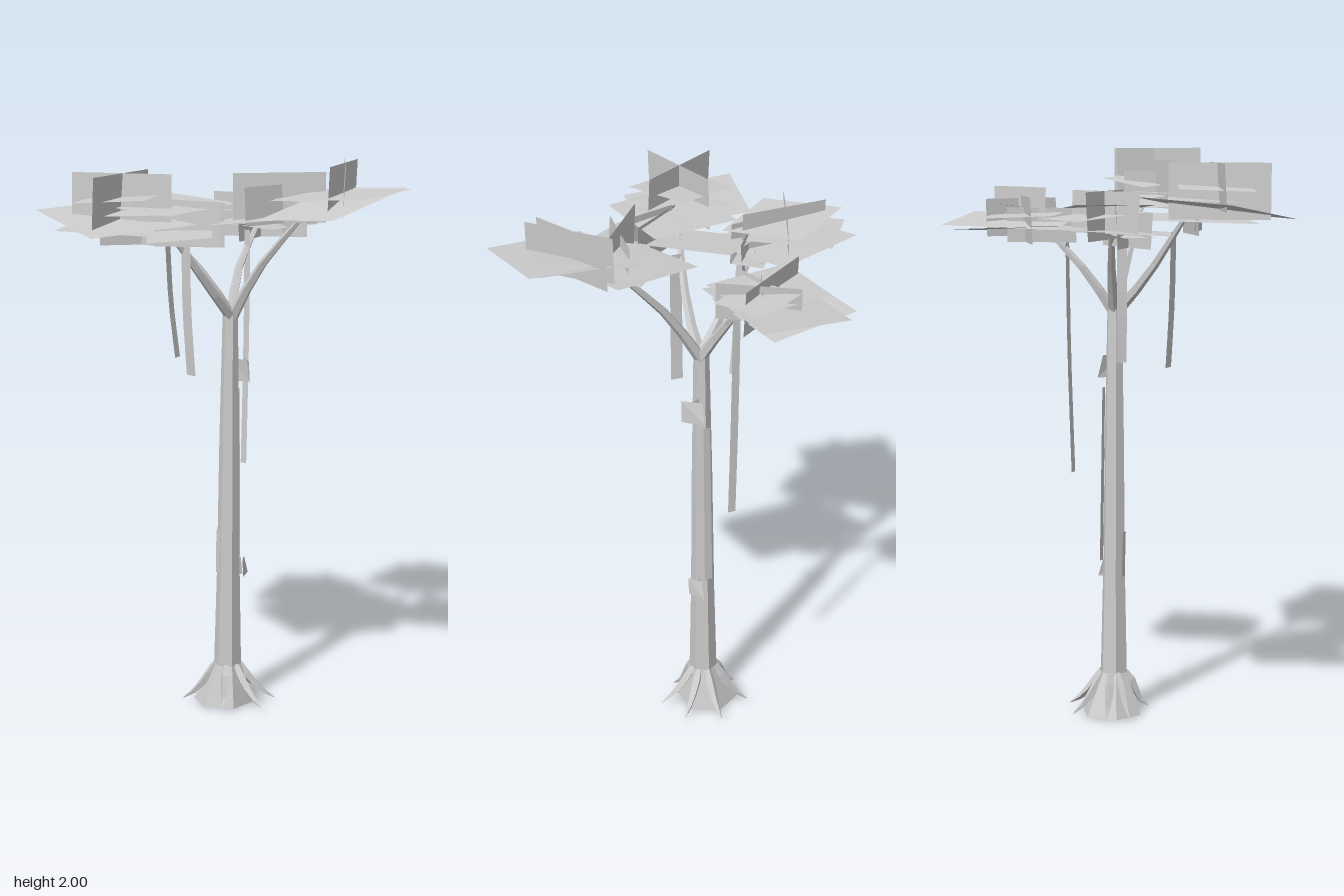
import * as THREE from 'three';

const bark = new THREE.MeshStandardMaterial({ color: 0xcccccc, flatShading: true, side: THREE.DoubleSide });
bark.name = 'pale grey';
const V = (p) => new THREE.Vector3(...p);

function add(parent, name, geometry) {
  const mesh = new THREE.Mesh(geometry, bark);
  mesh.name = name;
  parent.add(mesh);
}

// Tapered tube along a smooth path; radii are evenly spaced along it.
function limb(points, radii, sides) {
  const curve = new THREE.CatmullRomCurve3(points.map(V));
  const n = radii.length - 1;
  const geo = new THREE.TubeGeometry(curve, n, 1, sides, false);
  const pos = geo.attributes.position;
  const v = new THREE.Vector3();
  for (let i = 0; i < pos.count; i++) {
    const ring = Math.floor(i / (sides + 1));
    const c = curve.getPointAt(ring / n);
    v.fromBufferAttribute(pos, i).sub(c).multiplyScalar(radii[ring]).add(c);
    pos.setXYZ(i, v.x, v.y, v.z);
  }
  return geo;
}

// Strip of quads between two edges, each a list of points.
function strip(left, right) {
  const flat = [], index = [];
  left.forEach((p, i) => {
    flat.push(...p, ...right[i]);
    if (i) index.push(2 * i - 2, 2 * i - 1, 2 * i, 2 * i - 1, 2 * i + 1, 2 * i);
  });
  const geo = new THREE.BufferGeometry();
  geo.setAttribute('position', new THREE.Float32BufferAttribute(flat, 3));
  geo.setIndex(index);
  geo.computeVertexNormals();
  return geo;
}

// Tilted leaf sheet: three plan corners (x, z), centre height and slopes.
function sheet([ax, az, bx, bz, cx, cz, y, sx, sz]) {
  const mx = (ax + cx) / 2, mz = (az + cz) / 2;
  const at = (x, z) => [x, y + sx * (x - mx) + sz * (z - mz), z];
  return strip([at(ax, az), at(ax + cx - bx, az + cz - bz)], [at(bx, bz), at(cx, cz)]);
}

// Upright leaf sheet over a plan line, between two heights, leaning slightly.
function upright([x1, z1, x2, z2, y1, y2]) {
  const k = 0.004 / Math.hypot(x2 - x1, z2 - z1);
  const lx = (z2 - z1) * k, lz = (x1 - x2) * k;
  return strip(
    [[x1 - lx, y1, z1 - lz], [x1 + lx, y2, z1 + lz]],
    [[x2 - lx, y1, z2 - lz], [x2 + lx, y2, z2 + lz]],
  );
}

const clusters = {
  backLeaves: {
    sheets: [
      [-0.32, -0.59, 0.015, -0.62, 0.03, -0.21, 1.755, 0.1, -0.03],
      [-0.38, -0.52, -0.05, -0.57, 0, -0.22, 1.73, -0.05, 0.05],
      [-0.33, -0.44, 0, -0.5, 0.03, -0.24, 1.78, 0.05, 0.04],
      [-0.2, -0.475, -0.02, -0.555, 0.065, -0.365, 1.8, -0.08, -0.05],
    ],
    uprights: [
      [-0.03, -0.525, -0.16, -0.27, 1.72, 1.87],
      [-0.3, -0.26, -0.01, -0.44, 1.68, 1.84],
      [-0.2, -0.475, 0.03, -0.31, 1.7, 1.83],
      [-0.11, -0.175, -0.17, -0.41, 1.68, 1.8],
    ],
  },
  leftLeaves: {
    sheets: [
      [0, -0.12, 0.35, -0.255, 0.47, 0.11, 1.82, 0.1, -0.05],
      [0.08, -0.055, 0.265, -0.24, 0.455, -0.025, 1.84, 0.12, 0.05],
      [0.28, -0.155, 0.63, -0.2, 0.655, 0.105, 1.9, 0.06, -0.04],
      [0.3, -0.2, 0.605, -0.21, 0.59, 0.175, 1.87, 0.06, -0.2],
      [0.27, -0.23, 0.575, -0.07, 0.43, 0.14, 1.89, 0.1, -0.06],
    ],
    uprights: [
      [0.377, -0.225, 0.49, 0.07, 1.83, 2],
      [0.34, -0.2, 0.54, 0.05, 1.83, 2],
      [0.12, 0.12, 0.33, -0.12, 1.79, 1.96],
      [0.2, 0.15, 0.26, -0.14, 1.79, 1.92],
    ],
  },
  frontLeaves: {
    sheets: [
      [-0.23, 0.045, 0.08, 0.045, 0.085, 0.4, 1.85, -0.04, -0.04],
      [-0.32, 0.12, 0.05, 0.23, -0.065, 0.615, 1.81, -0.13, -0.09],
      [-0.34, 0.29, -0.1, 0.19, 0, 0.425, 1.88, 0.05, -0.06],
      [-0.31, 0.235, -0.08, 0.16, 0.09, 0.4, 1.84, 0.04, -0.08],
      [-0.15, -0.065, 0.2, 0.315, 0.03, 0.45, 1.77, 0.04, -0.1],
    ],
    uprights: [
      [-0.2, 0.2, -0.13, 0.54, 1.77, 1.96],
      [-0.32, 0.445, -0.01, 0.285, 1.8, 1.96],
      [-0.08, 0.25, 0.13, 0.2, 1.72, 1.87],
      [-0.1, 0.27, 0.1, 0.14, 1.71, 1.86],
    ],
  },
  rightLeaves: {
    sheets: [
      [-0.66, -0.025, -0.31, -0.15, -0.185, 0.2, 1.74, -0.03, -0.05],
      [-0.5, -0.14, -0.24, 0, -0.4, 0.2, 1.79, 0.06, 0.05],
      [-0.25, -0.11, -0.17, -0.03, -0.37, 0.22, 1.73, 0.06, -0.05],
      [-0.64, 0.05, -0.4, -0.1, -0.2, 0.1, 1.82, -0.06, 0.04],
    ],
    uprights: [
      [-0.58, 0.06, -0.26, 0.065, 1.71, 1.87],
      [-0.46, 0.115, -0.23, 0.09, 1.68, 1.83],
      [-0.36, -0.085, -0.5, 0.21, 1.73, 1.87],
      [-0.21, -0.03, -0.41, 0.22, 1.68, 1.8],
    ],
  },
};

export function createModel() {
  const tree = new THREE.Group();
  tree.name = 'tree';

  // Six-sided trunk, flared at the foot, with the foot set a little to one side
  const profile = [[0, 0], [0.11, 0.003], [0.05, 0.15], [0.042, 0.5], [0.036, 1], [0.027, 1.46], [0, 1.47]];
  const trunk = new THREE.LatheGeometry(profile.map(([r, y]) => new THREE.Vector2(r, y)), 6);
  const pos = trunk.attributes.position;
  for (let i = 0; i < pos.count; i++) {
    const y = pos.getY(i);
    pos.setX(i, pos.getX(i) - (y < 0.1 ? 0.077 : 0.06 - 0.01 * y));
    pos.setZ(i, pos.getZ(i) - 0.057);
  }
  trunk.computeVertexNormals();
  add(tree, 'trunk', trunk);

  // Thin pointed roots curving out around the foot
  const tips = [[0.11, -0.05], [0.07, -0.17], [-0.05, -0.23], [-0.19, -0.16], [-0.2, -0.03], [-0.18, 0.05], [0.01, 0.05]];
  for (const [x, z] of tips) {
    const a = Math.atan2(z + 0.06, x + 0.06), reach = Math.hypot(z + 0.06, x + 0.06);
    const at = (r, y) => [-0.06 + r * Math.cos(a), y, -0.06 + r * Math.sin(a)];
    add(tree, 'root', limb(
      [at(0.042, 0.15), at(0.075, 0.1), at(reach * 0.7, 0.05), at(reach, 0.015)],
      [0.012, 0.017, 0.015, 0.01, 0.002], 4,
    ));
  }

  // Four forking branches
  const branches = [
    [[-0.04, 1.43, -0.06], [0.08, 1.61, -0.06], [0.27, 1.81, -0.07]],
    [[-0.04, 1.43, -0.06], [-0.14, 1.57, -0.03], [-0.29, 1.74, 0.03]],
    [[-0.04, 1.43, -0.06], [-0.05, 1.56, 0.06], [-0.1, 1.8, 0.24]],
    [[-0.04, 1.43, -0.06], [-0.09, 1.58, -0.15], [-0.12, 1.74, -0.3]],
  ];
  for (const path of branches) add(tree, 'branch', limb(path, [0.022, 0.018, 0.015, 0.012, 0.008], 5));

  // Flat leaf clusters
  for (const [name, { sheets, uprights }] of Object.entries(clusters)) {
    const group = new THREE.Group();
    group.name = name;
    for (const s of sheets) add(group, 'leafSheet', sheet(s));
    for (const u of uprights) add(group, 'uprightLeaf', upright(u));
    tree.add(group);
  }

  // Hanging vines: flat curved ribbons with a half width in x and z
  const vines = [
    [[[-0.245, 1.7, 0.05], [-0.235, 1.48, 0.045], [-0.214, 1.28, 0.035]], 0.004, 0.017],
    [[[-0.055, 1.72, 0.165], [-0.055, 1.48, 0.16], [-0.05, 1.25, 0.145]], 0.022, 0.002],
    [[[-0.1, 1.72, -0.213], [-0.1, 1.3, -0.207], [-0.1, 0.87, -0.193]], 0.014, 0.001],
  ];
  for (const [path, hx, hz] of vines) {
    const pts = new THREE.CatmullRomCurve3(path.map(V)).getPoints(5);
    const edge = (s) => pts.map((p) => [p.x + s * hx, p.y, p.z + s * hz]);
    add(tree, 'vine', strip(edge(-1), edge(1)));
  }

  // Bark flaps: an outer plate across a short stem plate
  const flaps = [[1.2, 1.28, 0.035], [0.485, 0.55, 0.006]];
  for (const [y1, y2, x] of flaps) {
    add(tree, 'barkFlap', strip([[x, y1, -0.068], [x, y2, -0.065]], [[-0.025, y1, -0.13], [-0.025, y2, -0.11]]));
    add(tree, 'barkFlapStem', strip([[-0.04, y1, -0.07], [-0.04, y2, -0.07]], [[x - 0.03, y1, -0.1], [x - 0.03, y2, -0.09]]));
  }

  // Loose strips of bark
  add(tree, 'barkStrip', strip([[-0.07, 0.55, -0.105], [-0.06, 1.17, -0.098]], [[-0.04, 0.55, -0.105], [-0.035, 1.17, -0.098]]));
  add(tree, 'barkStrip', strip([[-0.08, 0.5, -0.017], [-0.075, 0.66, -0.015]], [[-0.06, 0.5, -0.014], [-0.055, 0.66, -0.012]]));
  return tree;
}
